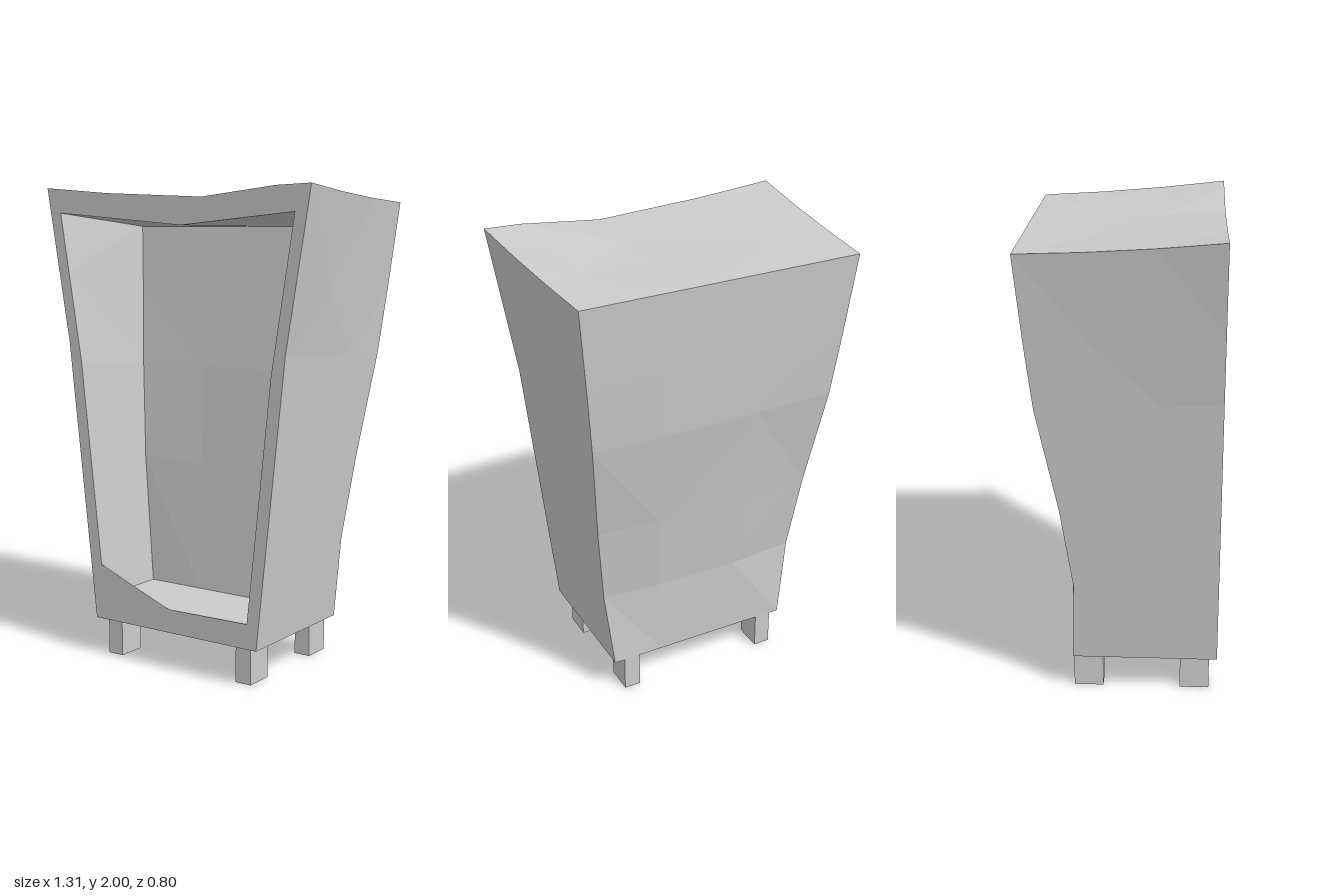
import * as THREE from 'three';

const mat = new THREE.MeshStandardMaterial({ color: 0xcccccc, flatShading: true });
const mix = THREE.MathUtils.lerp;

// Piecewise-linear profile through [t, value] points
function profile(points) {
  return (t) => {
    let i = 1;
    while (i < points.length - 1 && t > points[i][0]) i++;
    const [a, b] = [points[i - 1], points[i]];
    return mix(a[1], b[1], (t - a[0]) / (b[0] - a[0]));
  };
}

// Surface over a grid of u and v stops; it faces along du x dv
function panel(name, us, vs, fn) {
  const pos = [], index = [], n = us.length;
  vs.forEach((v) => us.forEach((u) => pos.push(...fn(u, v))));
  for (let j = 0; j < vs.length - 1; j++) {
    for (let i = 0; i < n - 1; i++) {
      const a = j * n + i, d = a + n;
      if ((i + j) % 2) index.push(a, a + 1, d + 1, a, d + 1, d);
      else index.push(a, a + 1, d, a + 1, d + 1, d);
    }
  }
  const geo = new THREE.BufferGeometry();
  geo.setAttribute('position', new THREE.Float32BufferAttribute(pos, 3));
  geo.setIndex(index);
  geo.computeVertexNormals();
  const mesh = new THREE.Mesh(geo, mat);
  mesh.name = name;
  return mesh;
}

export function createModel() {
  const model = new THREE.Group();
  model.name = 'cabinet';
  const FRONT = 0.4, BASE = 0.16;
  const levels = [0, 0.2, 0.4, 0.647, 0.8, 1];
  const thirds = [0, 0.33, 0.67, 1];
  const across = [-1, -0.5, 0.23, 0.76, 1];

  // Outer shape, by height fraction v
  const frontHalf = profile([[0, 0.415], [0.647, 0.545], [1, 0.655]]);
  const backHalf = profile([[0, 0.415], [0.647, 0.543], [1, 0.605]]);
  const backZ = profile([[0, -0.213], [0.2, -0.202], [0.4, -0.252], [0.647, -0.338], [0.8, -0.368], [1, -0.4]]);
  const bulge = profile([[0, 0], [0.2, 0.032], [0.4, 0.03], [0.647, 0.009], [1, 0]]);
  const topEdge = profile([[-1, 2], [-0.5, 1.975], [0.23, 1.955], [0.76, 1.994], [1, 2]]);

  // Point on a side wall: s runs from front to back
  const side = (sign, s, v) => [
    sign * mix(frontHalf(v), backHalf(v), s),
    BASE + v * (mix(2, 1.94, s) - 0.008 * Math.sin(Math.PI * s) - BASE),
    mix(FRONT, backZ(v), s),
  ];
  const body = new THREE.Group();
  body.name = 'body';
  body.add(
    panel('leftSide', thirds, levels, (u, v) => side(1, u, v)),
    panel('rightSide', thirds, levels, (u, v) => side(-1, 1 - u, v)),
    panel('back', [-1, -0.45, 0.35, 1], levels, (u, v) => [
      -u * backHalf(v), BASE + v * (1.94 - BASE), backZ(v) - bulge(v) * (1 - u * u)]),
    panel('top', across, thirds, (u, s) => [
      u * mix(0.655, 0.605, s),
      mix(topEdge(u), 1.94, s) - 0.008 * Math.sin(Math.PI * s),
      mix(FRONT, -0.4, s)]),
    panel('bottom', [-1, 1], [0, 1], (u, v) => [u * 0.415, BASE, mix(-0.213, FRONT, v)]),
  );

  // Front rim with its uneven opening
  const rim = new THREE.Shape();
  const outline = [
    ...across.map((u) => [u * 0.655, topEdge(u)]),
    [0.545, BASE + 0.647 * 1.84], [0.415, BASE], [-0.415, BASE], [-0.545, BASE + 0.647 * 1.84],
  ];
  rim.setFromPoints(outline.map((p) => new THREE.Vector2(...p)));
  const opening = [
    [-0.583, 1.895], [-0.48, 1.27], [-0.385, 0.4], [-0.02, 0.26],
    [0.37, 0.265], [0.48, 1.27], [0.583, 1.895], [0.05, 1.845],
  ];
  rim.holes.push(new THREE.Path(opening.map((p) => new THREE.Vector2(...p))));
  const rimMesh = new THREE.Mesh(new THREE.ShapeGeometry(rim), mat);
  rimMesh.name = 'frontRim';
  rimMesh.position.z = FRONT;
  body.add(rimMesh);

  // Hollow inside
  const FLOOR = 0.26;
  const cavFront = profile([[0, 0.37], [0.618, 0.48], [1, 0.583]]);
  const cavBack = profile([[0, 0.37], [0.618, 0.478], [1, 0.54]]);
  const cavZ = profile([[0, 0.06], [0.35, 0.03], [0.618, -0.02], [0.85, -0.07], [1, -0.1]]);
  const cavLevels = [0, 0.35, 0.618, 0.85, 1];
  const wall = (sign, s, v) => [
    sign * mix(cavFront(v), cavBack(v), s),
    FLOOR + v * (mix(1.895, 1.84, s) - FLOOR),
    mix(FRONT, cavZ(v), s),
  ];
  const ceilingFront = profile([[-1, 1.895], [0.086, 1.845], [1, 1.895]]);
  const cavity = new THREE.Group();
  cavity.name = 'cavity';
  cavity.add(
    panel('innerRightWall', [0, 1], cavLevels, (u, v) => wall(-1, u, v)),
    panel('innerLeftWall', [0, 1], cavLevels, (u, v) => wall(1, 1 - u, v)),
    panel('innerBack', [-1, -0.3, 0.4, 1], cavLevels, (u, v) => [
      u * cavBack(v), FLOOR + v * (1.84 - FLOOR), cavZ(v) - 0.5 * bulge(v) * (1 - u * u)]),
    panel('innerFloor', [-1, 1], [0, 1], (u, v) => [u * 0.37, FLOOR, mix(FRONT, 0.06, v)]),
    panel('ceiling', [-1, 0.086, 1], [0, 1], (u, v) => [
      u * mix(0.54, 0.583, v), mix(1.84, ceilingFront(u), v), mix(-0.1, FRONT, v)]),
  );
  model.add(body, cavity);

  // Four short legs
  for (const x of [-0.338, 0.331]) {
    for (const [name, z] of [['frontLeg', 0.305], ['backLeg', -0.148]]) {
      const leg = new THREE.Mesh(new THREE.BoxGeometry(0.073, 0.165, 0.124), mat);
      leg.name = name;
      leg.position.set(x, 0.0825, z);
      model.add(leg);
    }
  }
  return model;
}
